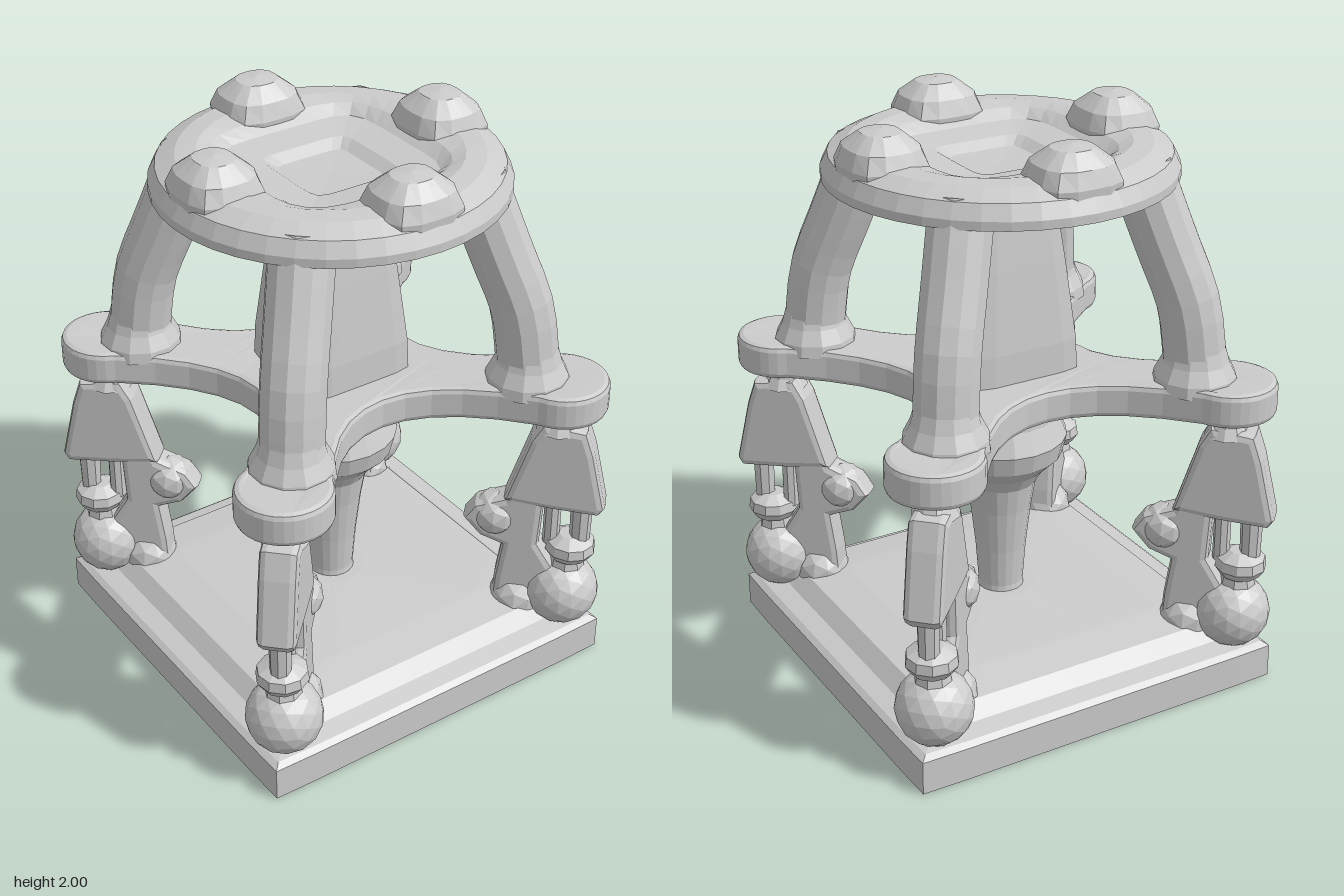
import * as THREE from 'three';

const material = new THREE.MeshStandardMaterial({ color: 0xcccccc, flatShading: true, side: THREE.DoubleSide });

function add(parent, name, geometry, x = 0, y = 0, z = 0) {
  const mesh = new THREE.Mesh(geometry, material);
  mesh.name = name;
  mesh.position.set(x, y, z);
  parent.add(mesh);
  return mesh;
}

// Turned form whose rings run from round (n = 2) to square (large n): [radius, y, n]
function turned(rings, segments = 32) {
  const geometry = new THREE.LatheGeometry(rings.map(([r, y]) => new THREE.Vector2(r, y)), segments);
  const p = geometry.attributes.position;
  for (let i = 0; i < p.count; i++) {
    const n = rings[i % rings.length][2] ?? 2;
    const r = Math.hypot(p.getX(i), p.getZ(i));
    if (r < 1e-6) continue;
    const c = Math.abs(p.getX(i) / r), s = Math.abs(p.getZ(i) / r);
    const k = 1 / Math.pow(c ** n + s ** n, 1 / n);
    p.setX(i, p.getX(i) * k);
    p.setZ(i, p.getZ(i) * k);
  }
  geometry.computeVertexNormals();
  return geometry;
}

// Bevelled flat slab, centred on its thickness
function slab(points, thickness, bevel = 0.025) {
  const shape = new THREE.Shape(points.map(([x, y]) => new THREE.Vector2(x, y)));
  const depth = thickness - 2 * bevel;
  return new THREE.ExtrudeGeometry(shape, {
    depth, bevelThickness: bevel, bevelSize: bevel, bevelOffset: -bevel, bevelSegments: 2,
  }).translate(0, 0, -depth / 2);
}

// Four-armed shelf with round pads on the diagonals, sagging slightly at the middle
function shelfGeometry() {
  const shape = new THREE.Shape();
  const reach = 0.79, pad = 0.16, open = 2.0;
  for (let i = 0; i <= 4; i++) {
    const a = Math.PI / 4 + i * Math.PI / 2;
    const cx = reach * Math.cos(a), cy = reach * Math.sin(a);
    const sx = cx + pad * Math.cos(a - open), sy = cy + pad * Math.sin(a - open);
    if (i === 0) shape.moveTo(sx, sy);
    else shape.quadraticCurveTo(0, 0, sx, sy);
    if (i < 4) shape.absarc(cx, cy, pad, a - open, a + open, false);
  }
  const geometry = new THREE.ExtrudeGeometry(shape, {
    depth: 0.08, bevelThickness: 0.02, bevelSize: 0.02, bevelOffset: -0.02, bevelSegments: 2, curveSegments: 10,
  }).rotateX(-Math.PI / 2);
  const p = geometry.attributes.position;
  for (let i = 0; i < p.count; i++) {
    const d = Math.hypot(p.getX(i), p.getZ(i));
    p.setY(i, p.getY(i) + 1.035 - 0.04 * Math.max(0, 1 - d / 0.75));
  }
  return geometry;
}

// Ornamental corner support; local x runs outward along the diagonal
function cornerSupport() {
  const group = new THREE.Group();
  group.name = 'cornerSupport';
  add(group, 'ball', new THREE.IcosahedronGeometry(0.132, 2), 0.84, 0.25, 0);
  add(group, 'collar', turned([[0, 0.4], [0.07, 0.4], [0.09, 0.43], [0.085, 0.465], [0.04, 0.49], [0, 0.49]], 10), 0.86, 0, 0);
  add(group, 'collarStem', new THREE.CylinderGeometry(0.05, 0.07, 0.1, 8), 0.85, 0.38, 0);
  add(group, 'outerStrut', new THREE.CylinderGeometry(0.04, 0.035, 0.2, 8), 0.89, 0.55, 0);
  add(group, 'innerStrut', new THREE.CylinderGeometry(0.03, 0.03, 0.2, 8), 0.79, 0.55, 0);
  add(group, 'skirt', slab([
    [0.62, 0.64], [0.78, 0.62], [0.95, 0.61], [0.97, 0.64], [0.92, 0.86],
    [0.89, 0.95], [0.74, 0.97], [0.7, 0.9],
  ], 0.13));
  add(group, 'bracket', slab([
    [0.59, 0.15], [0.8, 0.13], [0.81, 0.36], [0.75, 0.46], [0.76, 0.64], [0.66, 0.72],
    [0.62, 0.64], [0.52, 0.6], [0.48, 0.54], [0.54, 0.47], [0.62, 0.44], [0.6, 0.3],
  ], 0.11));
  add(group, 'bracketKnob', new THREE.IcosahedronGeometry(0.085, 1), 0.59, 0.55, 0);
  add(group, 'bracketFoot', new THREE.IcosahedronGeometry(0.1, 1), 0.68, 0.2, 0);
  add(group, 'neck', turned([[0.08, 0.93], [0.06, 0.97], [0.06, 0.99], [0.1, 1.04]], 10), 0.79, 0, 0);
  return group;
}

// Bowed post between shelf and top, with a flared foot
function upperPost() {
  const group = new THREE.Group();
  group.name = 'upperPost';
  const path = new THREE.CatmullRomCurve3([
    [0.675, 1.1], [0.66, 1.25], [0.635, 1.4], [0.555, 1.6], [0.46, 1.84],
  ].map(([x, y]) => new THREE.Vector3(x, y, 0)));
  add(group, 'shaft', new THREE.TubeGeometry(path, 10, 0.107, 12));
  add(group, 'foot', turned([[0.145, 1.1], [0.14, 1.14], [0.115, 1.19], [0.1, 1.24]], 12), 0.67, 0, 0);
  return group;
}

export function createModel() {
  const model = new THREE.Group();
  model.name = 'stand';

  // Square plinth with a sloping top
  add(model, 'base', turned([
    [0, 0], [0.695, 0, 150], [0.695, 0.12, 150], [0.675, 0.135, 100],
    [0.61, 0.15, 60], [0.56, 0.2, 40], [0.42, 0.22, 20], [0.12, 0.24], [0, 0.24],
  ], 48));

  // Vase-shaped lower column
  add(model, 'lowerColumn', turned([
    [0.085, 0.22], [0.08, 0.26], [0.09, 0.4], [0.108, 0.56], [0.125, 0.66], [0.155, 0.71],
    [0.215, 0.77], [0.232, 0.84], [0.2, 0.92], [0.195, 0.96], [0.23, 1.0], [0.26, 1.03],
  ], 20));

  add(model, 'shelf', shelfGeometry());

  // Tapered square upper column
  add(model, 'upperColumn', turned([
    [0.2, 1.05, 14], [0.195, 1.22, 14], [0.165, 1.5, 14], [0.14, 1.7, 14], [0.135, 1.75, 14], [0.15, 1.81, 14],
  ]));

  // Round top with a stepped square hollow
  add(model, 'topDisc', turned([
    [0, 1.78], [0.56, 1.78], [0.59, 1.79], [0.59, 1.82], [0.565, 1.87], [0.5, 1.9], [0.42, 1.905, 2.2],
    [0.33, 1.89, 4], [0.28, 1.86, 6], [0.17, 1.845, 8], [0.13, 1.82, 10], [0, 1.815],
  ], 40));

  for (let i = 0; i < 4; i++) {
    const angle = i * Math.PI / 2;

    // Domed knobs on the axes
    const knob = add(model, 'topKnob', turned([
      [0.14, 1.82, 3.5], [0.145, 1.89, 3.5], [0.125, 1.945, 3], [0.07, 1.99, 2.5], [0, 2.0],
    ], 16), 0.435 * Math.sin(angle), 0, 0.435 * Math.cos(angle));
    knob.rotation.y = angle;
    knob.scale.z = 0.92;

    // Supports and posts on the diagonals
    for (const part of [cornerSupport(), upperPost()]) {
      part.rotation.y = Math.PI / 4 + angle;
      model.add(part);
    }
  }
  return model;
}
